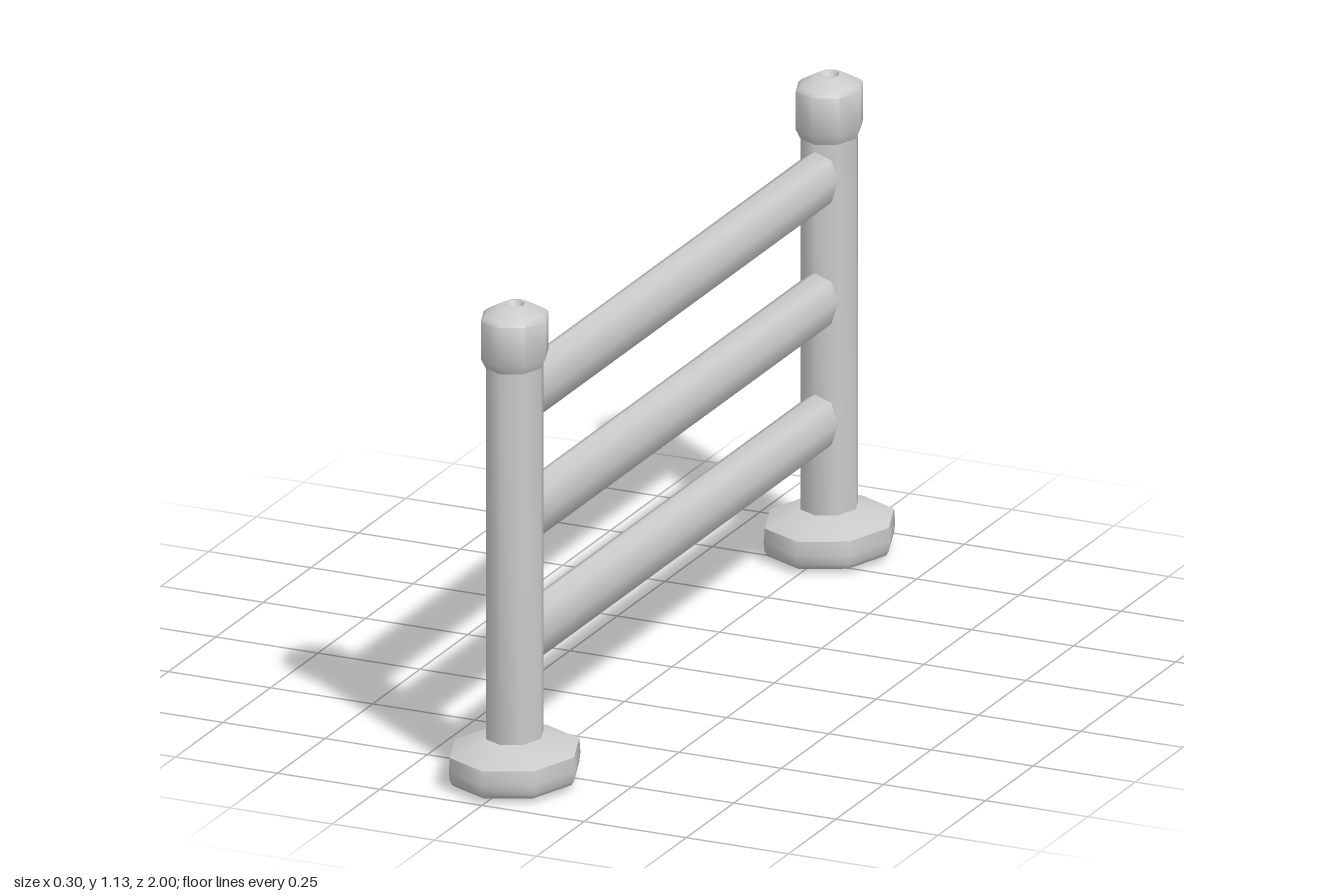
import * as THREE from 'three';
import { toCreasedNormals } from 'three/addons/utils/BufferGeometryUtils.js';

const SIDES = 8;
const SQUASH = 0.86; // posts are slightly narrower in x than in z
const POST_Z = 0.828;

export function createModel() {
  const fence = new THREE.Group();
  fence.name = 'railing';
  const material = new THREE.MeshStandardMaterial({ color: 0xcccccc });

  const turned = (name, profile) => {
    const points = profile.map(([r, y]) => new THREE.Vector2(r, y));
    const geometry = new THREE.LatheGeometry(points, SIDES);
    geometry.scale(SQUASH, 1, 1);
    const mesh = new THREE.Mesh(toCreasedNormals(geometry, 1.0), material);
    mesh.name = name;
    return mesh;
  };

  // Two posts, each with a foot, a shaft and a cap with a small dimple
  for (const side of [1, -1]) {
    const post = new THREE.Group();
    post.name = side > 0 ? 'frontPost' : 'backPost';
    post.add(
      turned('foot', [[0, 0.004], [0.162, 0.017], [0.169, 0.028], [0.172, 0.05], [0.169, 0.083], [0.074, 0.115], [0.06, 0.115]]),
      turned('shaft', [[0.075, 0.1], [0.075, 0.99]]),
      turned('cap', [[0.073, 0.985], [0.088, 1.012], [0.088, 1.102], [0.078, 1.11], [0.034, 1.131], [0.026, 1.131], [0.018, 1.118], [0, 1.118]])
    );
    post.position.z = side * POST_Z;
    fence.add(post);
  }

  // Three oval rails, their ends buried in the posts
  const railGeometry = new THREE.CylinderGeometry(1, 1, POST_Z * 2, SIDES, 1, true);
  railGeometry.rotateX(Math.PI / 2);
  railGeometry.scale(0.046, 0.07, 1);
  const railShape = toCreasedNormals(railGeometry, 1.2);
  ['lowerRail', 'middleRail', 'upperRail'].forEach((name, i) => {
    const rail = new THREE.Mesh(railShape, material);
    rail.name = name;
    rail.position.y = 0.33 + i * 0.286;
    fence.add(rail);
  });

  return fence;
}
